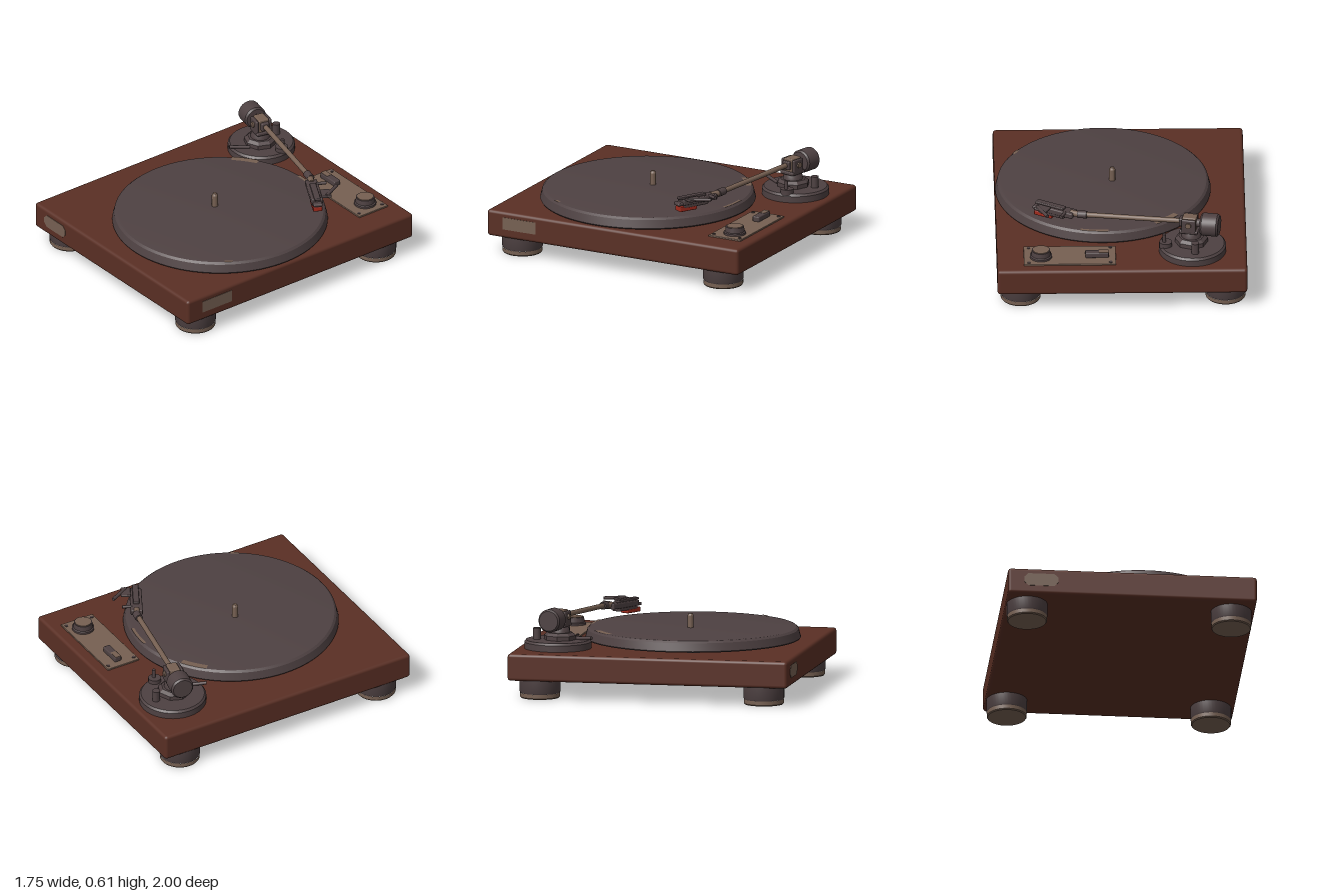
import * as THREE from 'three';
import { RoundedBoxGeometry } from 'three/addons/geometries/RoundedBoxGeometry.js';
import { toCreasedNormals } from 'three/addons/utils/BufferGeometryUtils.js';

function material(name, color) {
  const m = new THREE.MeshStandardMaterial({ color });
  m.name = name;
  return m;
}

export function createModel() {
  const wood = material('wood', 0x5a2f24);
  const dark = material('charcoal', 0x4e4142);
  const tan = material('bronze', 0x766052);
  const red = material('red', 0xa02a1c);

  const model = new THREE.Group();
  model.name = 'turntable';

  const add = (parent, name, geometry, mat, x = 0, y = 0, z = 0) => {
    const mesh = new THREE.Mesh(geometry, mat);
    mesh.name = name;
    mesh.position.set(x, y, z);
    parent.add(mesh);
    return mesh;
  };
  const box = (w, h, d, r = 0.008) => new RoundedBoxGeometry(w, h, d, 2, r);
  // Turned solid from [radius, height] points, listed bottom to top
  const turned = (points, sides = 40) => toCreasedNormals(
    new THREE.LatheGeometry(points.map(([r, y]) => new THREE.Vector2(r, y)), sides), 0.5);
  // Round rod between two points
  const rod = (parent, name, a, b, r, mat) => {
    const from = new THREE.Vector3(...a), to = new THREE.Vector3(...b);
    const dir = to.clone().sub(from);
    const mesh = add(parent, name, new THREE.CylinderGeometry(r, r, dir.length(), 16), mat);
    mesh.position.copy(from).add(to).multiplyScalar(0.5);
    mesh.quaternion.setFromUnitVectors(new THREE.Vector3(0, 1, 0), dir.normalize());
    return mesh;
  };

  // Plinth
  add(model, 'plinth', box(1.75, 0.19, 2, 0.022), wood, -0.003, 0.225, 0);

  // Feet with a bronze base
  for (const x of [-0.728, 0.707]) for (const z of [-0.795, 0.805]) {
    add(model, 'foot', turned([[0.139, 0.036], [0.143, 0.045], [0.143, 0.14], [0, 0.14]]), dark, x, 0, z);
    add(model, 'footBase', turned([[0, 0], [0.134, 0], [0.14, 0.008], [0.14, 0.036]]), tan, x, 0, z);
  }

  // Plates on the front and on the left side
  const w = 0.12, h = 0.046, c = 0.028;
  const outline = new THREE.Shape([[-w + c, -h], [w - c, -h], [w, -h + c], [w, h - c],
    [w - c, h], [-w + c, h], [-w, h - c], [-w, -h + c]].map(p => new THREE.Vector2(...p)));
  add(model, 'frontPlate', new THREE.ExtrudeGeometry(outline, { depth: 0.004, bevelEnabled: false }),
    tan, -0.645, 0.235, 0.999);
  add(model, 'sidePlate', new THREE.BoxGeometry(0.006, 0.088, 0.26), tan, 0.872, 0.237, 0.742);

  // Platter with hub, spindle and rim markings
  const platter = new THREE.Group();
  platter.name = 'platter';
  platter.position.set(0.115, 0, 0.127);
  model.add(platter);
  add(platter, 'platterHub', turned([[0.3, 0.318], [0.3, 0.332]]), tan);
  add(platter, 'platterDisc', turned([[0, 0.33], [0.75, 0.33], [0.755, 0.338], [0.74, 0.395],
    [0.725, 0.408], [0.71, 0.41], [0, 0.41]], 96), dark);
  for (const [angle, span, inner, outer] of [[2.23, 0.27, 0.685, 0.73], [1.47, 0.28, 0.708, 0.73],
    [-0.575, 0.08, 0.71, 0.73]]) {
    const mark = add(platter, 'rimMark',
      new THREE.RingGeometry(inner, outer, 12, 1, angle - span / 2, span), tan, 0, 0.4115, 0);
    mark.rotation.x = -Math.PI / 2;
  }
  add(platter, 'spindle', turned([[0.022, 0.4], [0.022, 0.495], [0.013, 0.51], [0, 0.51]], 20), tan, -0.065, 0, -0.005);

  // Control panel with switch, knob and screws
  add(model, 'controlPanel', box(0.645, 0.014, 0.255, 0.004), tan, 0.363, 0.324, -0.792);
  for (const x of [0.077, 0.65]) for (const z of [-0.895, -0.69])
    add(model, 'screw', new THREE.CylinderGeometry(0.012, 0.012, 0.006, 12), dark, x, 0.333, z);
  add(model, 'powerSwitch', box(0.165, 0.04, 0.055), dark, 0.172, 0.348, -0.807);
  add(model, 'switchPad', new THREE.BoxGeometry(0.07, 0.006, 0.042), tan, 0.125, 0.367, -0.807);
  add(model, 'knob', turned([[0.078, 0.33], [0.078, 0.345], [0.068, 0.35], [0.064, 0.385], [0, 0.385]]), dark, 0.565, 0, -0.81);
  add(model, 'knobCap', new THREE.CylinderGeometry(0.057, 0.057, 0.006, 32), tan, 0.565, 0.386, -0.81);

  // Tonearm base with post, arm rest and cue lever
  add(model, 'tonearmBase', turned([[0.235, 0.318], [0.235, 0.365], [0.222, 0.38], [0, 0.38]], 48), dark, -0.498, 0, -0.715);
  add(model, 'pivotStep', turned([[0.115, 0.375], [0.115, 0.41], [0.09, 0.43], [0, 0.43]], 8), dark, -0.49, 0, -0.7);
  add(model, 'pivotCone', turned([[0.07, 0.425], [0.066, 0.455], [0.045, 0.49], [0, 0.49]]), dark, -0.49, 0, -0.7);
  add(model, 'basePost', turned([[0.027, 0.37], [0.027, 0.46], [0, 0.46]], 20), dark, -0.515, 0, -0.86);
  add(model, 'restFoot', turned([[0.045, 0.37], [0.045, 0.41], [0, 0.41]], 20), dark, -0.31, 0, -0.75);
  rod(model, 'restPost', [-0.3, 0.4, -0.75], [-0.3, 0.47, -0.75], 0.013, dark);
  rod(model, 'cueLever', [-0.47, 0.385, -0.59], [-0.54, 0.4, -0.465], 0.012, dark);

  // Tonearm, laid out along its own x axis
  const arm = new THREE.Group();
  arm.name = 'tonearm';
  arm.position.set(-0.48, 0, -0.7);
  arm.rotation.y = -0.21;
  model.add(arm);
  add(arm, 'bearingBlock', box(0.1, 0.115, 0.075), tan, 0, 0.53, 0);
  for (const s of [-1, 1]) {
    add(arm, 'yokeCheek', box(0.1, 0.1, 0.022), dark, 0, 0.53, s * 0.05);
    rod(arm, 'bearingScrew', [0, 0.54, s * 0.055], [0, 0.54, s * 0.072], 0.02, tan);
  }
  add(arm, 'yokeBase', box(0.13, 0.025, 0.12), dark, 0, 0.482, 0);
  add(arm, 'armCollar', box(0.03, 0.06, 0.06), dark, 0.06, 0.54, 0);
  rod(arm, 'armTube', [0.04, 0.542, 0], [0.76, 0.514, 0], 0.018, tan);
  rod(arm, 'counterweightStub', [-0.1, 0.535, 0], [0, 0.54, 0], 0.03, dark);
  const weight = add(arm, 'counterweight', turned([[0, -0.065], [0.07, -0.065], [0.081, -0.052],
    [0.081, 0.052], [0.07, 0.065], [0, 0.065]]), dark, -0.145, 0.532, 0);
  weight.rotation.z = Math.PI / 2;
  rod(arm, 'armConnector', [0.735, 0.515, 0], [0.8, 0.512, 0], 0.027, dark);

  // Headshell, cartridge and finger lift
  const head = new THREE.Group();
  head.name = 'headshell';
  head.position.set(0.28, 0, -0.54);
  head.rotation.y = -0.5;
  model.add(head);
  rod(head, 'headshellNeck', [-0.01, 0.512, 0], [0.08, 0.508, 0], 0.022, tan);
  add(head, 'headshellBody', box(0.28, 0.04, 0.085), dark, 0.19, 0.5, 0);
  add(head, 'headshellTip', box(0.06, 0.022, 0.065), dark, 0.34, 0.488, 0);
  add(head, 'cartridgeMount', box(0.2, 0.03, 0.07), dark, 0.22, 0.472, 0);
  add(head, 'cartridge', box(0.14, 0.034, 0.066, 0.006), red, 0.285, 0.451, 0);
  rod(head, 'liftPin', [0.11, 0.515, -0.03], [0.106, 0.515, -0.1], 0.011, dark);
  add(head, 'liftBracket', box(0.1, 0.018, 0.07, 0.006), dark, 0.27, 0.525, -0.07);
  rod(head, 'fingerLift', [0.18, 0.53, -0.16], [0.31, 0.53, -0.07], 0.012, dark);
  add(head, 'headshellTop', box(0.22, 0.018, 0.045, 0.006), dark, 0.24, 0.527, 0);
  return model;
}
